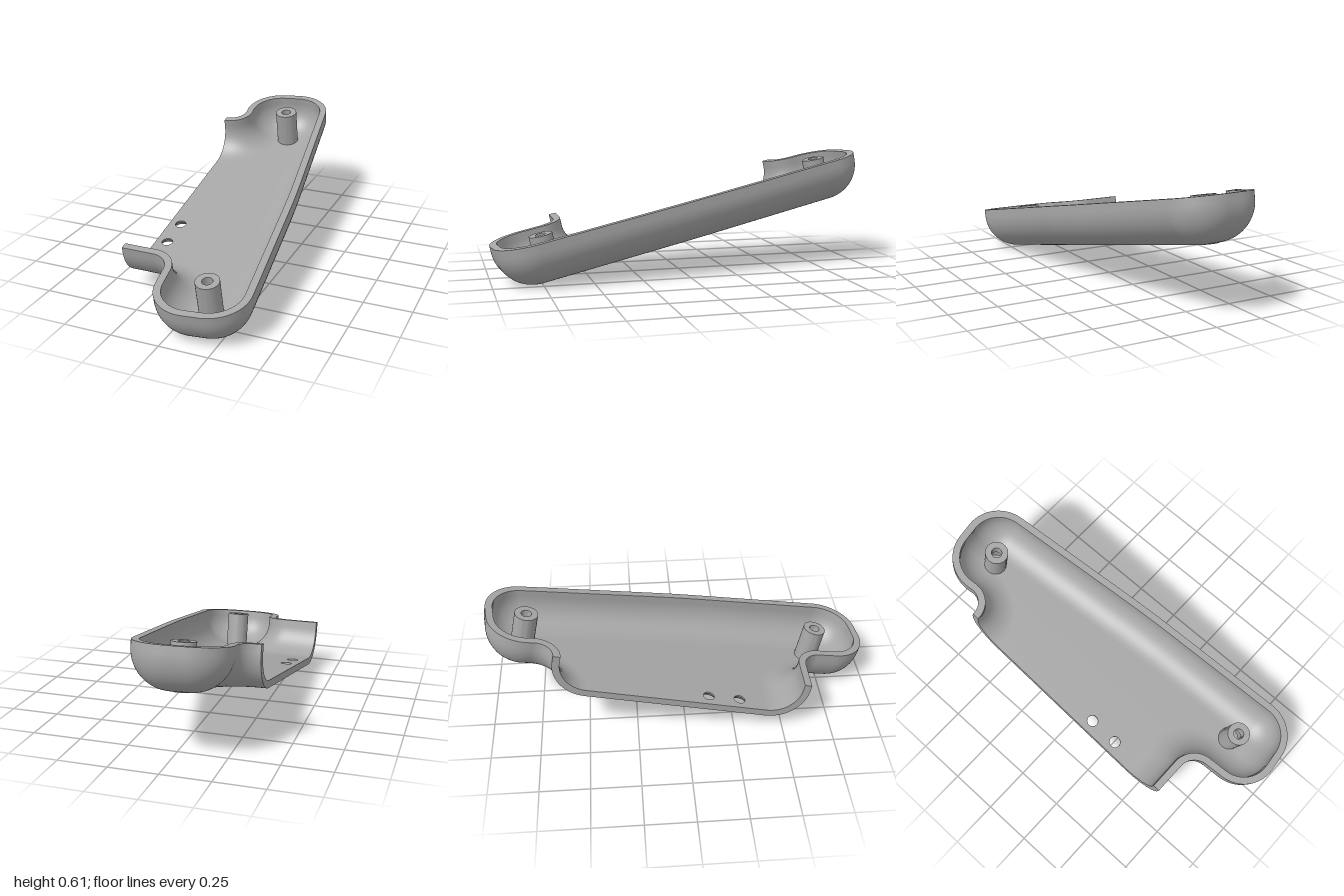
import * as THREE from 'three';
import { toCreasedNormals } from 'three/addons/utils/BufferGeometryUtils.js';

const TILT = THREE.MathUtils.degToRad(12);
const DEPTH = 0.2275, FILLET = 0.19, WALL = 0.037, CUT_X = -0.378;

// Plan corners: x, z, corner radius (z is stretched along the slope)
const CORNERS = [
  [CUT_X, 0.64, 0], [-0.115, 0.64, 0.1], [-0.075, 1.02, 0.195], [0.397, 0.97, 0.195],
  [0.297, 0, 7], [0.149, -1.022, 0.195], [-0.32, -0.955, 0.195], [-0.275, -0.65, 0.085],
  [CUT_X, -0.65, 0],
].map(([x, z, r]) => ({ p: new THREE.Vector2(x, z / Math.cos(TILT)), r }));

// Screw posts and countersunk floor holes: x, z in the tilted plane
const POSTS = [[-0.055, -0.808], [0.135, 0.767]];
const SCREW_HOLES = [[-0.315, 0.163], [-0.315, 0.327]];

const inward = (a) => new THREE.Vector2(Math.sin(a), -Math.cos(a));

// Rounded outline as points with inward normals
function makeOutline() {
  const out = [];
  const last = CORNERS.length - 1;
  const heading = (i) => CORNERS[i + 1].p.clone().sub(CORNERS[i].p).angle();
  out.push({ p: CORNERS[0].p, n: inward(heading(0)) });
  for (let i = 1; i < last; i++) {
    const { p, r } = CORNERS[i];
    const a = heading(i - 1);
    let turn = heading(i) - a;
    turn = Math.atan2(Math.sin(turn), Math.cos(turn));
    const side = turn < 0 ? 1 : -1;
    const len = r * Math.tan(Math.abs(turn) / 2);
    const centre = p.clone()
      .sub(new THREE.Vector2(Math.cos(a), Math.sin(a)).multiplyScalar(len))
      .addScaledVector(inward(a), side * r);
    for (let k = 0; k <= 20; k++) {
      const n = inward(a + (turn * k) / 20);
      out.push({ p: centre.clone().addScaledVector(n, -side * r), n });
    }
  }
  out.push({ p: CORNERS[last].p, n: inward(heading(last - 1)) });
  return out;
}

// Wall section: [offset inward, height], straight lip then a quarter round
function section(offset) {
  const r = FILLET - offset;
  const pts = [[offset, 0]];
  for (let k = 0; k <= 16; k++) {
    const t = (k / 16) * Math.PI / 2;
    pts.push([offset + r * (1 - Math.cos(t)), -(DEPTH - FILLET) - r * Math.sin(t)]);
  }
  return pts;
}

// Sweep a section along the outline
function sweep(outline, profile, flip) {
  const pos = [], idx = [], m = profile.length;
  for (const { p, n } of outline)
    for (const [d, y] of profile) pos.push(p.x + n.x * d, y, p.y + n.y * d);
  for (let i = 0; i < outline.length - 1; i++)
    for (let j = 0; j < m - 1; j++) {
      const a = i * m + j, b = a + 1, c = a + m, d = c + 1;
      if (flip) idx.push(a, c, b, b, c, d);
      else idx.push(a, b, c, b, d, c);
    }
  const g = new THREE.BufferGeometry();
  g.setAttribute('position', new THREE.Float32BufferAttribute(pos, 3));
  g.setIndex(idx);
  g.computeVertexNormals();
  return g;
}

// Flat floor inside the fillet, with round holes
function floorPlate(outline, y, up, postR, holeR) {
  const s = up ? -1 : 1;
  const shape = new THREE.Shape(outline.map(({ p, n }) =>
    new THREE.Vector2(p.x + n.x * FILLET, s * (p.y + n.y * FILLET))));
  const punch = (list, r) => list.forEach(([x, z]) =>
    shape.holes.push(new THREE.Path().absarc(x, s * z, r, 0, Math.PI * 2, true)));
  punch(POSTS, postR);
  punch(SCREW_HOLES, holeR);
  const g = new THREE.ShapeGeometry(shape, 24);
  g.rotateX(s * Math.PI / 2);
  g.translate(0, y, 0);
  return g;
}

// Flat face where the tray is cut open
function cutFace(outline, outer, inner) {
  const first = outline[0], end = outline[outline.length - 1];
  const run = (o, prof) => prof.map(([d, y]) => new THREE.Vector2(o.p.y + o.n.y * d, y));
  const shape = new THREE.Shape([
    ...run(first, outer), ...run(end, outer).reverse(),
    ...run(end, inner), ...run(first, inner).reverse(),
  ]);
  const g = new THREE.ShapeGeometry(shape);
  g.rotateY(-Math.PI / 2);
  g.translate(CUT_X, 0, 0);
  return g;
}

function lathe(points) {
  const g = new THREE.LatheGeometry(points.map(([r, y]) => new THREE.Vector2(r, y)), 48);
  return toCreasedNormals(g, 0.6);
}

export function createModel() {
  const model = new THREE.Group();
  model.name = 'tiltedTray';
  const tray = new THREE.Group();
  tray.name = 'trayHalf';
  tray.rotation.x = TILT;
  tray.position.y = 0.4;
  model.add(tray);

  const grey = new THREE.MeshStandardMaterial({ color: 0xa6a6a6, side: THREE.DoubleSide });
  grey.name = 'grey';
  const add = (name, geometry, x = 0, z = 0) => {
    const mesh = new THREE.Mesh(geometry, grey);
    mesh.name = name;
    mesh.position.set(x, 0, z);
    tray.add(mesh);
  };

  // Shell
  const outline = makeOutline();
  const outer = section(0), inner = section(WALL);
  const floorY = -(DEPTH - WALL);
  add('outerWall', sweep(outline, outer, false));
  add('innerWall', sweep(outline, inner, true));
  add('rim', sweep(outline, [[WALL, 0], [0, 0]], false));
  add('undersideFloor', floorPlate(outline, -DEPTH, false, 0.05, 0.052));
  add('innerFloor', floorPlate(outline, floorY, true, 0.055, 0.029));
  add('cutFace', cutFace(outline, outer, inner));

  // Hollow posts with a wide bore from below
  for (const [x, z] of POSTS)
    add('screwPost', lathe([
      [0.06, floorY], [0.06, 0], [0.027, 0], [0.027, -0.07], [0.05, -0.07], [0.05, -DEPTH],
    ]), x, z);

  // Countersinks through the floor
  for (const [x, z] of SCREW_HOLES)
    add('countersink', lathe([[0.029, floorY], [0.029, floorY - 0.008], [0.052, -DEPTH]]), x, z);

  return model;
}
